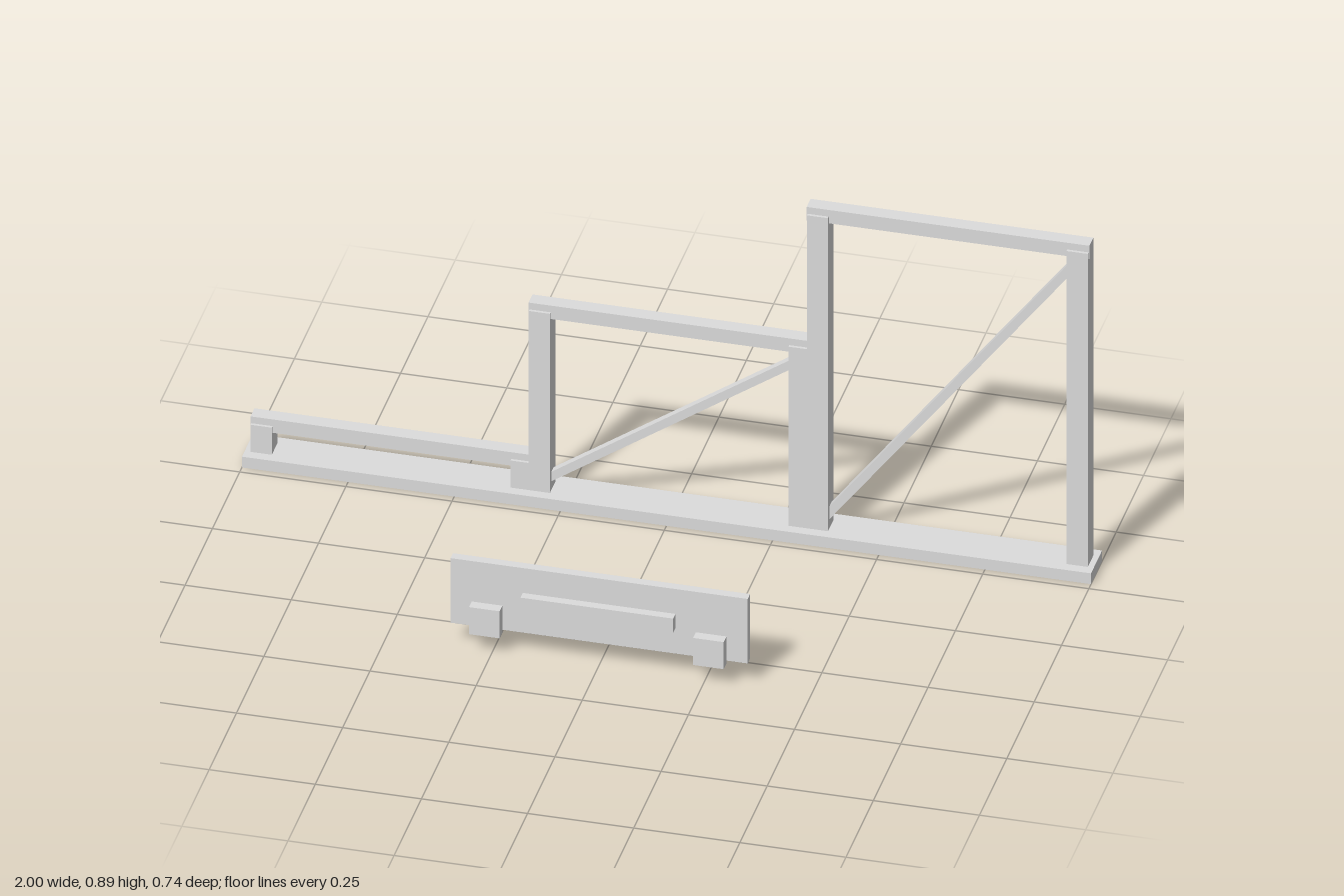
import * as THREE from 'three';

export function createModel() {
  const model = new THREE.Group();
  const grey = new THREE.MeshStandardMaterial({ color: 0xdcdcdc });
  grey.name = 'lightGrey';

  // Box given by its extents along x, y and z
  function box(parent, name, [x0, x1], [y0, y1], [z0, z1]) {
    const mesh = new THREE.Mesh(new THREE.BoxGeometry(x1 - x0, y1 - y0, z1 - z0), grey);
    mesh.position.set((x0 + x1) / 2, (y0 + y1) / 2, (z0 + z1) / 2);
    mesh.name = name;
    parent.add(mesh);
  }

  // Slanted bar between two points in a frame's plane
  function brace(parent, [xa, ya], [xb, yb], z) {
    const length = Math.hypot(xb - xa, yb - ya);
    const mesh = new THREE.Mesh(new THREE.BoxGeometry(length, 0.021, 0.021), grey);
    mesh.position.set((xa + xb) / 2, (ya + yb) / 2, z);
    mesh.rotation.z = Math.atan2(yb - ya, xb - xa);
    mesh.name = 'diagonalBrace';
    parent.add(mesh);
  }

  // Stepped rack: base rail with three frames of rising height
  const rack = new THREE.Group();
  rack.name = 'steppedRack';
  model.add(rack);
  box(rack, 'baseRail', [-1, 1], [0, 0.029], [-0.371, -0.27]);

  const frames = [
    { name: 'lowFrame', x: -0.655, top: 0.12 },
    { name: 'middleFrame', x: 0, top: 0.53, brace: [[-0.295, 0.055], [0.295, 0.464]] },
    { name: 'tallFrame', x: 0.655, top: 0.891, brace: [[0.36, 0.052], [0.945, 0.823]] },
  ];
  for (const f of frames) {
    const frame = new THREE.Group();
    frame.name = f.name;
    rack.add(frame);
    for (const side of [-1, 1]) {
      const x = f.x + side * 0.306;
      box(frame, 'post', [x - 0.025, x + 0.025], [0.029, f.top - 0.018], [-0.345, -0.295]);
    }
    box(frame, 'topBeam', [f.x - 0.333, f.x + 0.333], [f.top - 0.036, f.top], [-0.338, -0.302]);
    if (f.brace) brace(frame, f.brace[0], f.brace[1], -0.32);
  }

  // Separate front panel with a raised bar and two blocks
  const panel = new THREE.Group();
  panel.name = 'frontPanel';
  model.add(panel);
  box(panel, 'panelBoard', [-0.35, 0.35], [0.06, 0.234], [0.324, 0.346]);
  box(panel, 'raisedBar', [-0.18, 0.18], [0.129, 0.167], [0.345, 0.367]);
  for (const x of [-0.264, 0.264]) {
    box(panel, 'cornerBlock', [x - 0.036, x + 0.036], [0.052, 0.125], [0.344, 0.371]);
  }
  return model;
}
